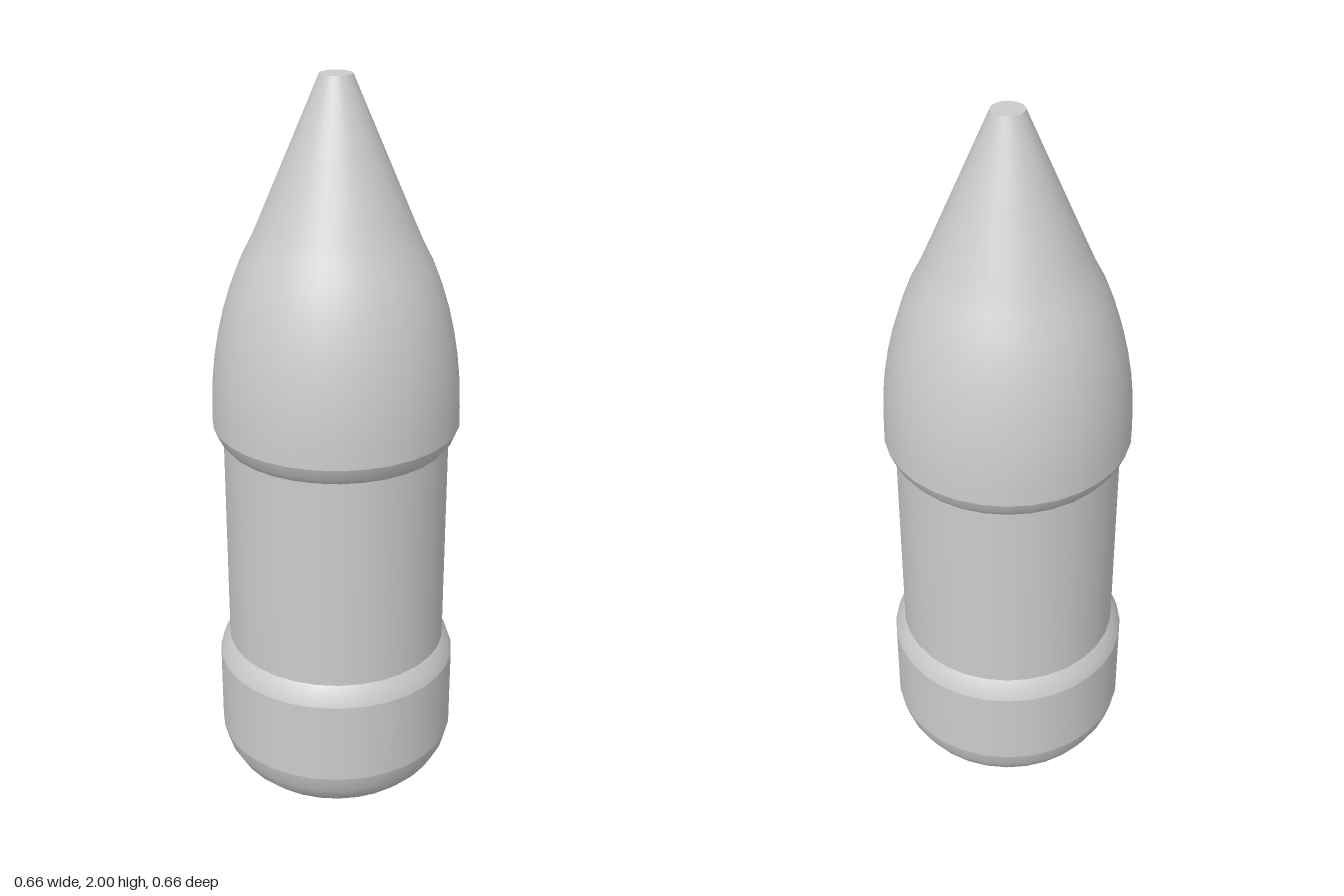
import * as THREE from 'three';

const SIDES = 32;

export function createModel() {
  const model = new THREE.Group();
  const material = new THREE.MeshStandardMaterial({ color: 0xcccccc });

  // Turns a profile of [radius, height] points, listed bottom to top
  const turn = (name, profile) => {
    const points = profile.map(([r, y]) => new THREE.Vector2(r, y));
    const mesh = new THREE.Mesh(new THREE.LatheGeometry(points, SIDES), material);
    mesh.name = name;
    model.add(mesh);
  };

  // Base: flat foot, rounded lower edge, straight band and bevelled shoulder
  turn('baseFoot', [[0, 0], [0.2, 0]]);
  turn('baseRoundedEdge', [[0.2, 0], [0.235, 0.008], [0.268, 0.026], [0.297, 0.055], [0.32, 0.095], [0.332, 0.14]]);
  turn('baseBand', [[0.332, 0.14], [0.332, 0.375]]);
  turn('baseShoulder', [[0.332, 0.375], [0.322, 0.404], [0.304, 0.43]]);

  // Straight middle body
  turn('body', [[0.304, 0.43], [0.304, 1.035]]);

  // Nose: bevelled rim, curved lower part running into a straight cone
  turn('noseRim', [[0.304, 1.035], [0.32, 1.055], [0.332, 1.085]]);
  turn('nose', [
    [0.332, 1.085], [0.331, 1.14], [0.328, 1.2], [0.321, 1.265], [0.31, 1.33],
    [0.295, 1.395], [0.275, 1.46], [0.25, 1.525], [0.222, 1.58], [0.2, 1.63],
    [0.121, 1.815], [0.042, 2],
  ]);
  turn('noseTip', [[0.042, 2], [0, 2]]);

  return model;
}
